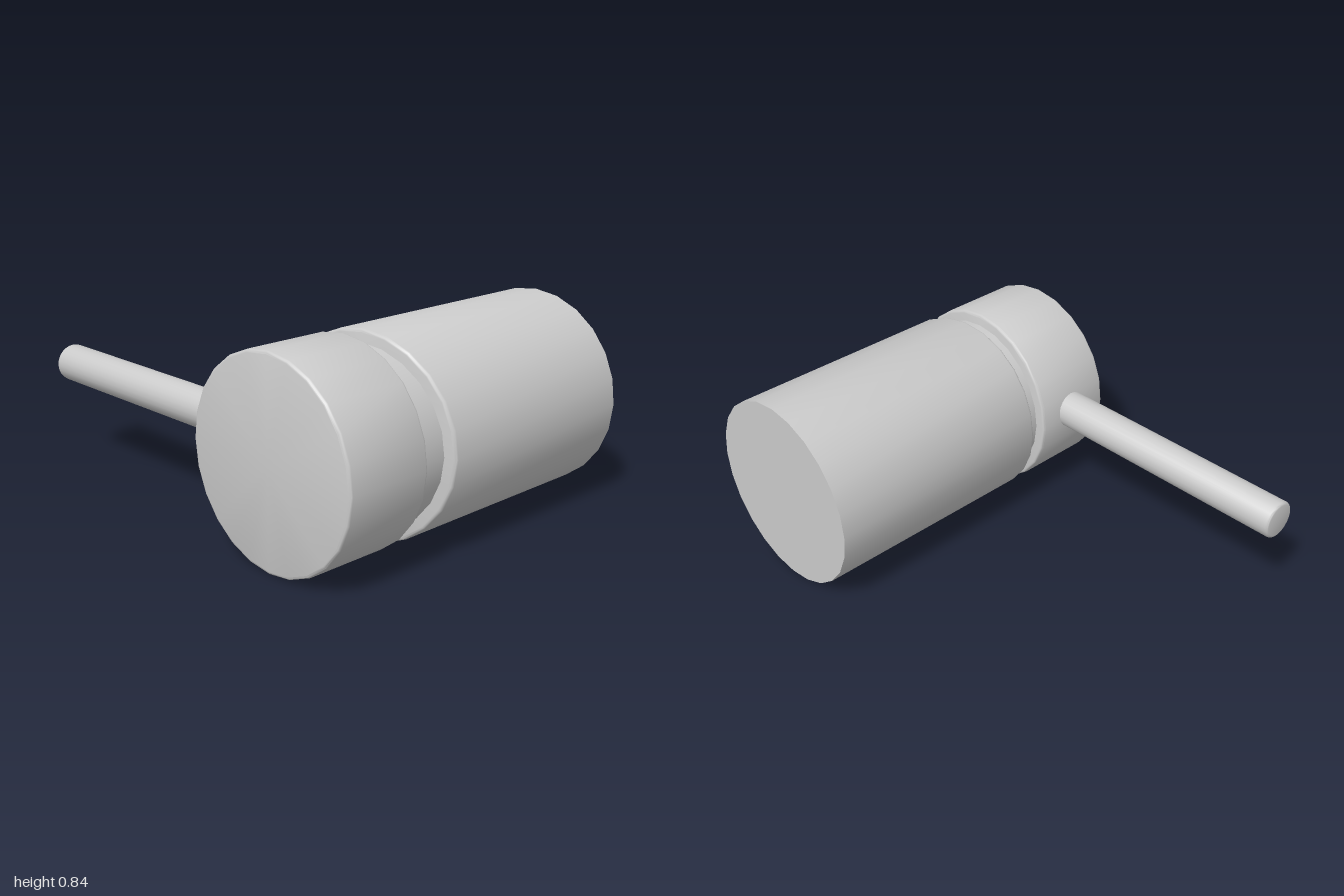
import * as THREE from 'three';
import { toCreasedNormals } from 'three/addons/utils/BufferGeometryUtils.js';

const AXIS_Y = 0.422, AXIS_Z = 0.578, R = 0.422;

// Solid rod along +y from a to b, with rounded rims of radius ra and rb (0 = sharp)
function rod(radius, a, b, ra, rb, sides = 24) {
  const pts = [new THREE.Vector2(0, a)];
  const rim = (y, r, dir) => {
    if (!r) return [new THREE.Vector2(radius, y)];
    return [0, 1, 2, 3].map(i => {
      const t = i * Math.PI / 6;
      return new THREE.Vector2(radius - r + r * Math.sin(t), y + dir * r * (1 - Math.cos(t)));
    });
  };
  pts.push(...rim(a, ra, 1), ...rim(b, rb, -1).reverse(), new THREE.Vector2(0, b));
  return new THREE.LatheGeometry(pts, sides);
}

// Lays a rod along x, on the shared axis of the barrel parts
function alongX(geometry) {
  return geometry.rotateZ(-Math.PI / 2).translate(0, AXIS_Y, AXIS_Z);
}

export function createModel() {
  const model = new THREE.Group();
  const material = new THREE.MeshStandardMaterial({ color: 0xcccccc });
  const add = (name, geometry) => {
    const mesh = new THREE.Mesh(toCreasedNormals(geometry, 0.6), material);
    mesh.name = name;
    model.add(mesh);
  };

  // Main barrel: its inner end curves away towards the front
  const barrel = alongX(rod(R, -0.313, 0.76, 0.012, 0));
  const p = barrel.attributes.position;
  for (let i = 0; i < p.count; i++) {
    if (p.getX(i) > 0) continue;
    const t = Math.max(0, (p.getZ(i) - AXIS_Z + R) / (2 * R));
    p.setX(i, p.getX(i) + 0.085 * Math.pow(t, 2.2));
  }
  add('barrel', barrel);

  // Turning cap and the narrower neck joining it to the barrel
  add('cap', alongX(rod(R, -0.76, -0.377, 0.012, 0.012)));
  add('neck', alongX(rod(0.372, -0.45, -0.15, 0, 0)));

  // Lever reaching backwards from the cap
  add('lever', rod(0.082, -0.25, 1, 0, 0.012)
    .rotateX(-Math.PI / 2).translate(-0.563, 0.452, 0));

  return model;
}
